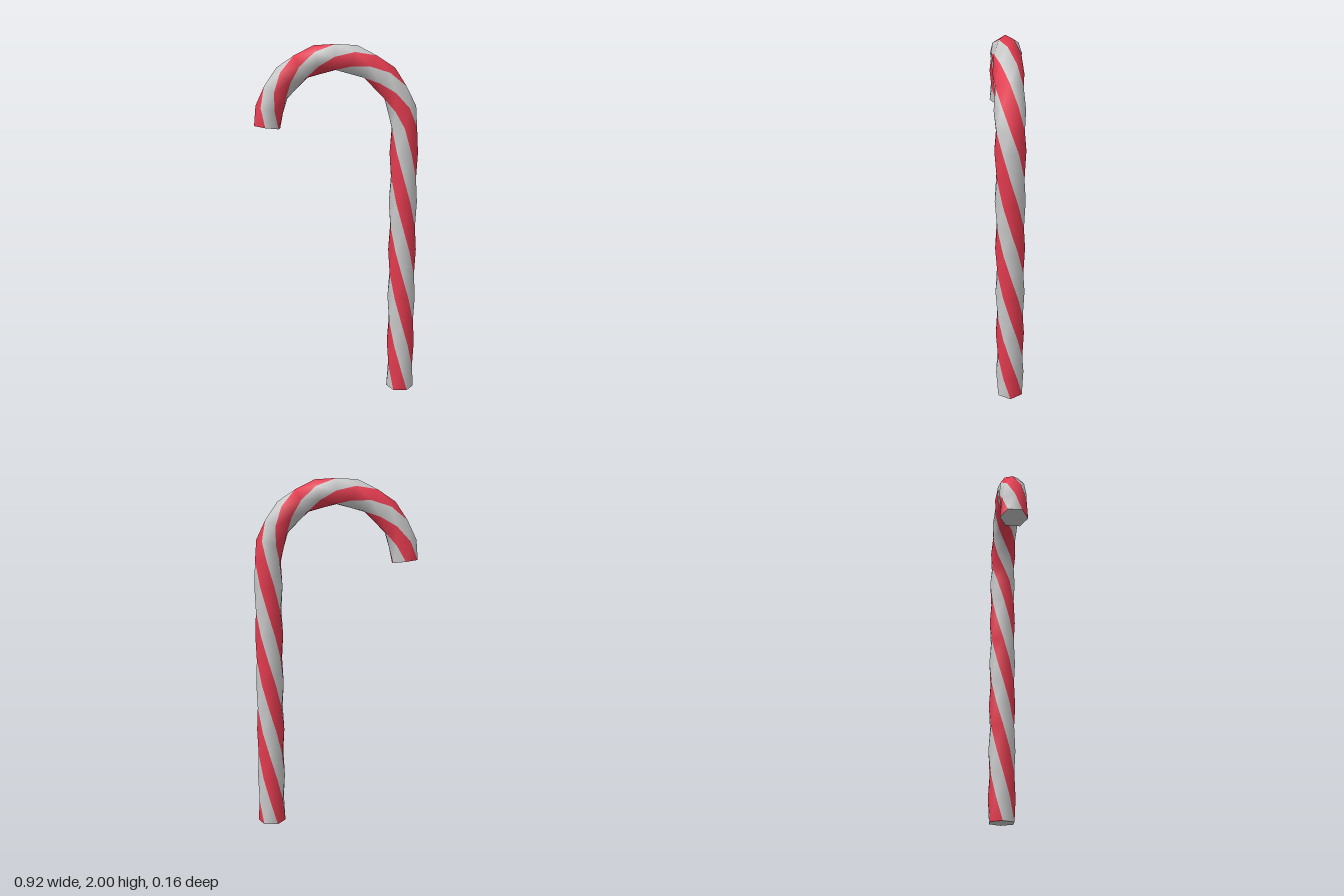
import * as THREE from 'three';

const SIDES = 6, RADIUS = 0.08, TWIST = Math.PI / 6;
const STEM_RINGS = 11, HOOK_RINGS = 12;
const BEND = 0.386, HOOK_X = -0.006, HOOK_Y = 1.545;

// Centre line: straight stem, then a half-circle hook; each ring faces along its neighbours' mean direction
function makeRings() {
  const centres = [];
  for (let i = 0; i < STEM_RINGS; i++) {
    centres.push(new THREE.Vector3(HOOK_X + BEND, HOOK_Y * i / STEM_RINGS, 0));
  }
  for (let i = 0; i <= HOOK_RINGS; i++) {
    const a = Math.PI * i / HOOK_RINGS;
    centres.push(new THREE.Vector3(HOOK_X + BEND * Math.cos(a), HOOK_Y + BEND * Math.sin(a), 0));
  }
  const last = centres.length - 1;
  const chord = (i) => centres[i + 1].clone().sub(centres[i]).normalize();
  return centres.map((centre, i) => {
    const tangent = chord(Math.max(i - 1, 0)).add(chord(Math.min(i, last - 1))).normalize();
    const out = new THREE.Vector3(tangent.y, -tangent.x, 0);
    const corners = [], normals = [];
    for (let k = 0; k < SIDES; k++) {
      const t = k * 2 * Math.PI / SIDES + i * TWIST;
      const n = out.clone().multiplyScalar(Math.cos(t)).add(new THREE.Vector3(0, 0, Math.sin(t)));
      normals.push(n);
      corners.push(centre.clone().addScaledVector(n, RADIUS));
    }
    return { centre, tangent, corners, normals };
  });
}

function toMesh(name, points, normals, color) {
  const geometry = new THREE.BufferGeometry().setFromPoints(points);
  geometry.setAttribute('normal',
    new THREE.Float32BufferAttribute(normals.flatMap((n) => n.toArray()), 3));
  const mesh = new THREE.Mesh(geometry, new THREE.MeshStandardMaterial({ color }));
  mesh.name = name;
  return mesh;
}

// Every second side of the twisted tube, starting at the given side
function makeStripes(name, rings, first, color) {
  const points = [], normals = [];
  for (let k = first; k < SIDES; k += 2) {
    const next = (k + 1) % SIDES;
    for (let i = 0; i < rings.length - 1; i++) {
      const corners = [[i, k], [i + 1, k], [i, next], [i, next], [i + 1, k], [i + 1, next]];
      for (const [r, s] of corners) {
        points.push(rings[r].corners[s]);
        normals.push(rings[r].normals[s]);
      }
    }
  }
  return toMesh(name, points, normals, color);
}

// Flat end face of the tube
function makeCap(name, ring, isStart) {
  const normal = ring.tangent.clone().multiplyScalar(isStart ? -1 : 1);
  const points = [], normals = [];
  for (let k = 0; k < SIDES; k++) {
    const a = ring.corners[k], b = ring.corners[(k + 1) % SIDES];
    points.push(ring.centre, ...(isStart ? [a, b] : [b, a]));
    normals.push(normal, normal, normal);
  }
  return toMesh(name, points, normals, 0xcccccc);
}

export function createModel() {
  const group = new THREE.Group();
  group.name = 'candyCane';
  const rings = makeRings();
  group.add(
    makeStripes('paleStripes', rings, 0, 0xcccccc),
    makeStripes('redStripes', rings, 1, 0xe63c50),
    makeCap('bottomCap', rings[0], true),
    makeCap('hookCap', rings[rings.length - 1], false),
  );
  return group;
}
